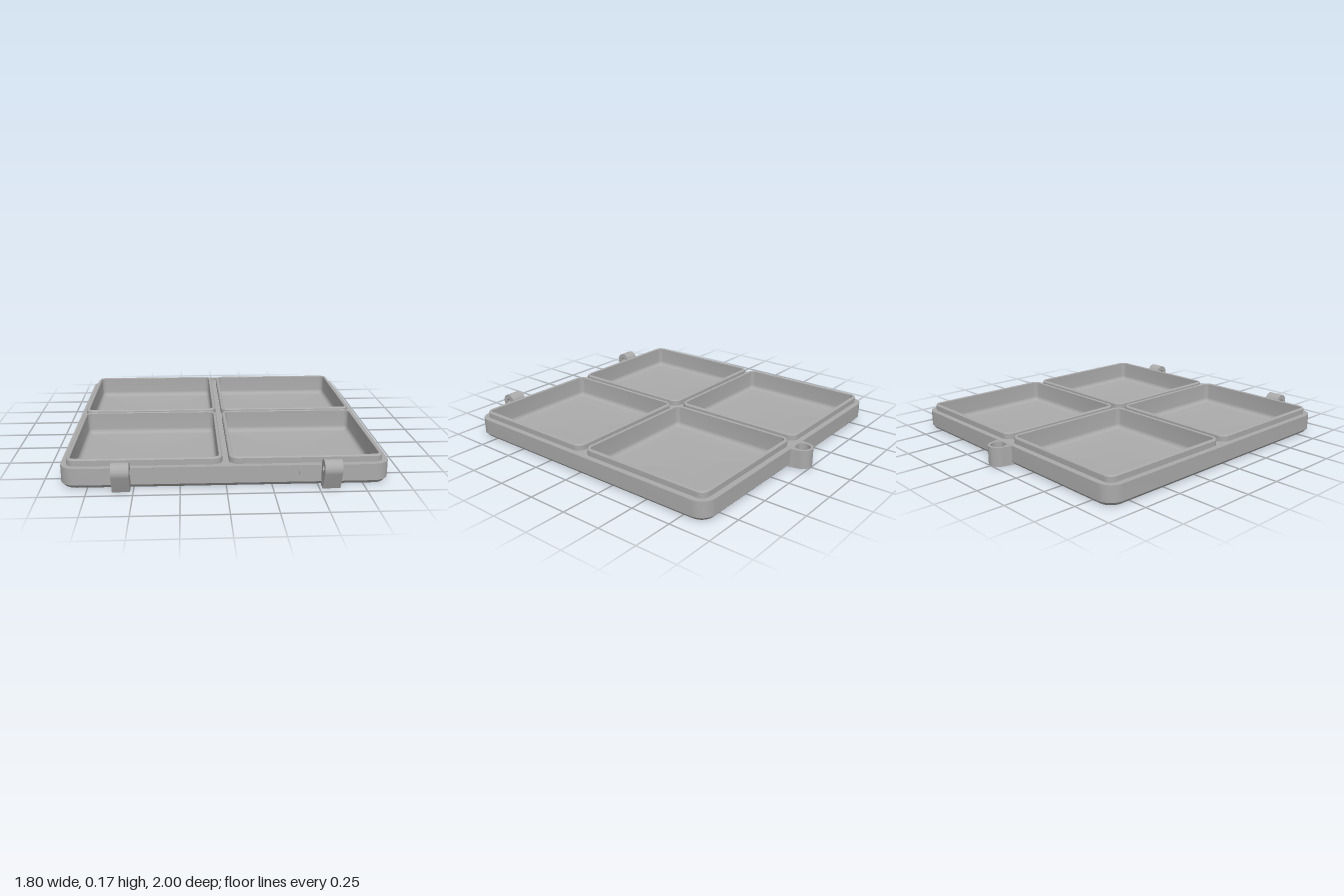
import * as THREE from 'three';
import { toCreasedNormals } from 'three/addons/utils/BufferGeometryUtils.js';

const TOP = 0.116; // height of the base plate

// Counter-clockwise outline of a rounded rectangle
function outline(hw, hd, r, cx = 0, cy = 0) {
  const points = [], steps = 8;
  const corners = [[1, 1], [-1, 1], [-1, -1], [1, -1]];
  corners.forEach(([sx, sy], k) => {
    for (let i = 0; i <= steps; i++) {
      const a = (k + i / steps) * Math.PI / 2;
      points.push(new THREE.Vector2(
        cx + sx * (hw - r) + r * Math.cos(a), cy + sy * (hd - r) + r * Math.sin(a)));
    }
  });
  return points;
}

// Skin through rounded rectangles; each section is [half size, corner radius, y]
function loft(sections, capStart, capEnd) {
  const pos = [], index = [];
  let n = 0;
  for (const [h, r, y] of sections) {
    const ring = outline(h, h, r);
    n = ring.length;
    ring.forEach(p => pos.push(p.x, y, -p.y));
  }
  const last = sections.length - 1;
  for (let i = 0; i < last; i++) {
    for (let j = 0; j < n; j++) {
      const k = (j + 1) % n;
      const a = i * n + j, b = i * n + k, c = a + n, d = b + n;
      index.push(a, b, c, b, d, c);
    }
  }
  const cap = (row, flip) => {
    const centre = pos.length / 3;
    pos.push(0, sections[row][2], 0);
    for (let j = 0; j < n; j++) {
      const a = row * n + j, b = row * n + (j + 1) % n;
      index.push(flip ? b : a, flip ? a : b, centre);
    }
  };
  if (capStart) cap(0, true);
  if (capEnd) cap(last, false);
  const g = new THREE.BufferGeometry();
  g.setAttribute('position', new THREE.Float32BufferAttribute(pos, 3));
  g.setIndex(index);
  return toCreasedNormals(g, 0.5);
}

export function createModel() {
  const model = new THREE.Group();
  model.name = 'compartmentTray';
  const grey = new THREE.MeshStandardMaterial({ color: 0xaaaaaa });
  grey.name = 'grey plastic';

  const add = (name, geometry, x = 0, y = 0, z = 0) => {
    const mesh = new THREE.Mesh(geometry, grey);
    mesh.name = name;
    mesh.position.set(x, y, z);
    model.add(mesh);
    return mesh;
  };

  // Base with a chamfered lower edge
  add('baseShell', loft([[0.882, 0.075, 0], [0.9, 0.09, 0.02], [0.9, 0.09, TOP]], true, false));

  // Top deck with an opening for each compartment
  const centre = 0.442, half = 0.424;
  const deck = new THREE.Shape(outline(0.9, 0.9, 0.09));
  for (const sx of [-1, 1]) for (const sz of [-1, 1]) {
    deck.holes.push(new THREE.Path(outline(half, half, 0.05, sx * centre, sz * centre)));
  }
  add('deck', new THREE.ShapeGeometry(deck).rotateX(-Math.PI / 2), 0, TOP, 0);

  // Compartments: raised rim, inner wall, rounded floor edge
  const inner = half - 0.02, fillet = 0.03, floor = 0.02;
  const sections = [
    [half, 0.05, TOP], [half, 0.05, 0.148], [half - 0.006, 0.044, 0.155],
    [inner + 0.003, 0.035, 0.155], [inner, 0.032, 0.152],
  ];
  for (let i = 0; i <= 6; i++) {
    const a = i / 6 * Math.PI / 2;
    const inset = fillet * (1 - Math.cos(a));
    sections.push([inner - inset, 0.032 - inset * 0.9, floor + fillet * (1 - Math.sin(a))]);
  }
  const compartment = loft(sections, false, true);
  for (const sx of [-1, 1]) for (const sz of [-1, 1]) {
    add('compartment', compartment, sx * centre, 0, sz * centre);
  }

  // Hinge knuckles with a pin hole, and the thin pads behind them
  const knuckle = new THREE.Shape();
  knuckle.moveTo(0.895, 0);
  knuckle.lineTo(0.953, 0);
  knuckle.absarc(0.951, 0.117, 0.049, -0.38, Math.PI, false);
  knuckle.lineTo(0.895, 0.117);
  knuckle.closePath();
  const pin = new THREE.Path();
  pin.absarc(0.951, 0.117, 0.018, 0, Math.PI * 2, true);
  knuckle.holes.push(pin);
  const knuckleGeometry = toCreasedNormals(
    new THREE.ExtrudeGeometry(knuckle, { depth: 0.096, bevelEnabled: false, curveSegments: 24 })
      .translate(0, 0, -0.048).rotateY(-Math.PI / 2), 0.5);
  for (const s of [-1, 1]) {
    add('hingeKnuckle', knuckleGeometry, s * 0.565, 0, 0);
    add('hingePad', new THREE.BoxGeometry(0.34, 0.095, 0.006), s * 0.565, 0.0685, 0.9);
  }

  // Rear latch boss: a blind round socket flaring into the back wall
  const bossShape = () => {
    const s = new THREE.Shape();
    s.moveTo(-0.078, 0.89);
    s.lineTo(0.078, 0.89);
    s.lineTo(0.072, 0.9);
    s.absarc(0, 0.938, 0.062, 0.2, Math.PI - 0.2, false);
    s.lineTo(-0.072, 0.9);
    s.closePath();
    return s;
  };
  const extrudeUp = (shape, depth) => toCreasedNormals(
    new THREE.ExtrudeGeometry(shape, { depth, bevelEnabled: false, curveSegments: 32 })
      .rotateX(-Math.PI / 2), 0.5);
  const ring = bossShape();
  const socket = new THREE.Path();
  socket.absarc(0, 0.938, 0.046, 0, Math.PI * 2, true);
  ring.holes.push(socket);
  add('latchBossFloor', extrudeUp(bossShape(), 0.02));
  add('latchBoss', extrudeUp(ring, TOP - 0.021), 0, 0.02, 0);

  return model;
}
